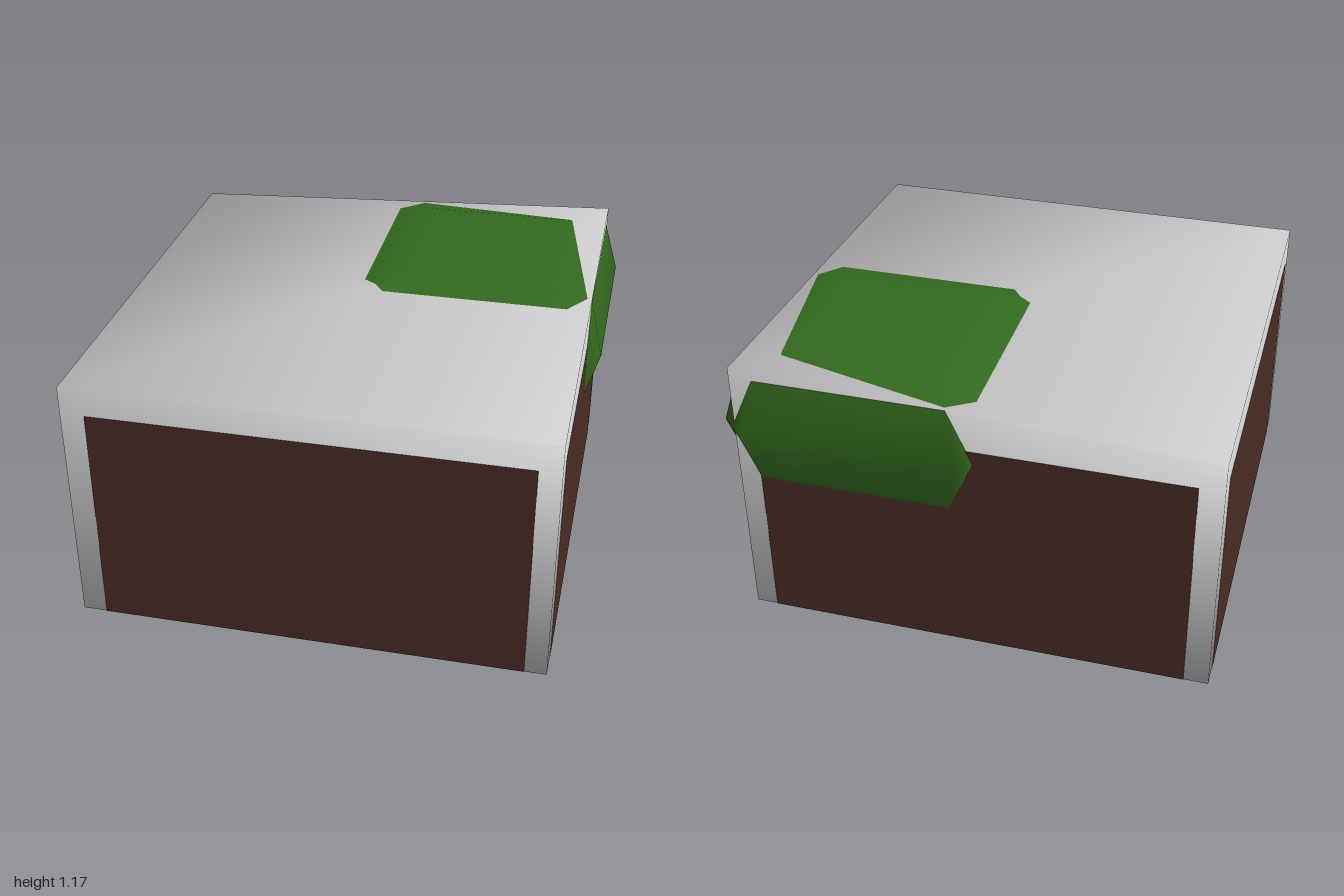
import * as THREE from 'three';
import { mergeVertices } from 'three/addons/utils/BufferGeometryUtils.js';

const grey = new THREE.MeshStandardMaterial({ color: 0xcccccc });
const brown = new THREE.MeshStandardMaterial({ color: 0x4a2c24 });
const green = new THREE.MeshStandardMaterial({ color: 0x33691e });

// Weld corners so the shading runs smoothly across them
function smooth(geometry) {
  geometry.deleteAttribute('normal');
  geometry.deleteAttribute('uv');
  const welded = mergeVertices(geometry, 1e-4);
  welded.computeVertexNormals();
  return welded;
}

// Raised patch: rim ring at y = 0 joined to a crown ring at y = h, plus a flat cap.
// Rings are [x, z] points running from +z towards +x.
function patchGeometry(rim, crown, h) {
  const pos = [], n = rim.length;
  const low = i => [rim[i % n][0], 0, rim[i % n][1]];
  const high = i => [crown[i % n][0], h, crown[i % n][1]];
  const tri = (a, b, c) => {
    const same = (p, q) => p.every((v, k) => v === q[k]);
    if (!same(a, b) && !same(b, c) && !same(a, c)) pos.push(...a, ...b, ...c);
  };
  for (let i = 0; i < n; i++) {
    tri(low(i), low(i + 1), high(i + 1));
    tri(low(i), high(i + 1), high(i));
    if (i > 0 && i < n - 1 && crown.some(p => p[1] !== 0)) tri(high(0), high(i), high(i + 1));
  }
  const g = new THREE.BufferGeometry();
  g.setAttribute('position', new THREE.Float32BufferAttribute(pos, 3));
  return smooth(g);
}

export function createModel() {
  const model = new THREE.Group();
  const add = (name, geometry, material, x, y, z) => {
    const mesh = new THREE.Mesh(geometry, material);
    mesh.name = name;
    mesh.position.set(x, y, z);
    model.add(mesh);
    return mesh;
  };

  // Block with one raised top corner
  const size = 1.94, cx = -0.03, cz = 0.03;
  const block = new THREE.BoxGeometry(size, 1.07, size);
  block.translate(cx, 0.535, cz);
  const p = block.attributes.position;
  for (let i = 0; i < p.count; i++) {
    if (p.getY(i) > 1 && p.getX(i) > 0 && p.getZ(i) < 0) p.setY(i, 1.17);
  }
  add('block', smooth(block), grey, 0, 0, 0);

  // Earth panel on each side
  const panel = new THREE.PlaneGeometry(1.75, 0.955);
  ['front', 'left', 'back', 'right'].forEach((side, i) => {
    const a = i * Math.PI / 2, d = size / 2 + 0.002;
    const mesh = add(side + 'Panel', panel, brown,
      -0.025 + Math.sin(a) * (d + (cx + 0.025) * Math.sin(a)), 0.4775,
      0.025 + Math.cos(a) * (d + (cz - 0.025) * Math.cos(a)));
    mesh.rotation.y = a;
  });

  // Top moss: chamfered square rim rising to a smaller square
  const rim = [], crown = [];
  for (const [sx, sz] of [[-1, 1], [1, 1], [1, -1], [-1, -1]]) {
    const ends = [[sx * 0.485, sz * 0.39], [sx * 0.39, sz * 0.485]];
    if (sx === sz) ends.reverse();
    rim.push(...ends);
    crown.push([sx * 0.32, sz * 0.32], [sx * 0.32, sz * 0.32]);
  }
  add('topMoss', patchGeometry(rim, crown, 0.045), green, 0.455, 1.12, -0.455);

  // Side moss: hexagonal rim rising to a straight ridge
  const hexRim = [[-0.39, 0.23], [0.39, 0.23], [0.495, 0], [0.39, -0.23], [-0.39, -0.23], [-0.495, 0]];
  const ridge = hexRim.map(([x]) => [Math.sign(x) * 0.44, 0]);
  const sideMoss = patchGeometry(hexRim, ridge, 0.06);
  add('backMoss', sideMoss, green, 0.455, 0.895, -0.94).rotation.x = -Math.PI / 2;
  add('leftMoss', sideMoss, green, 0.94, 0.895, -0.455)
    .rotation.set(-Math.PI / 2, -Math.PI / 2, 0, 'YXZ');

  return model;
}
